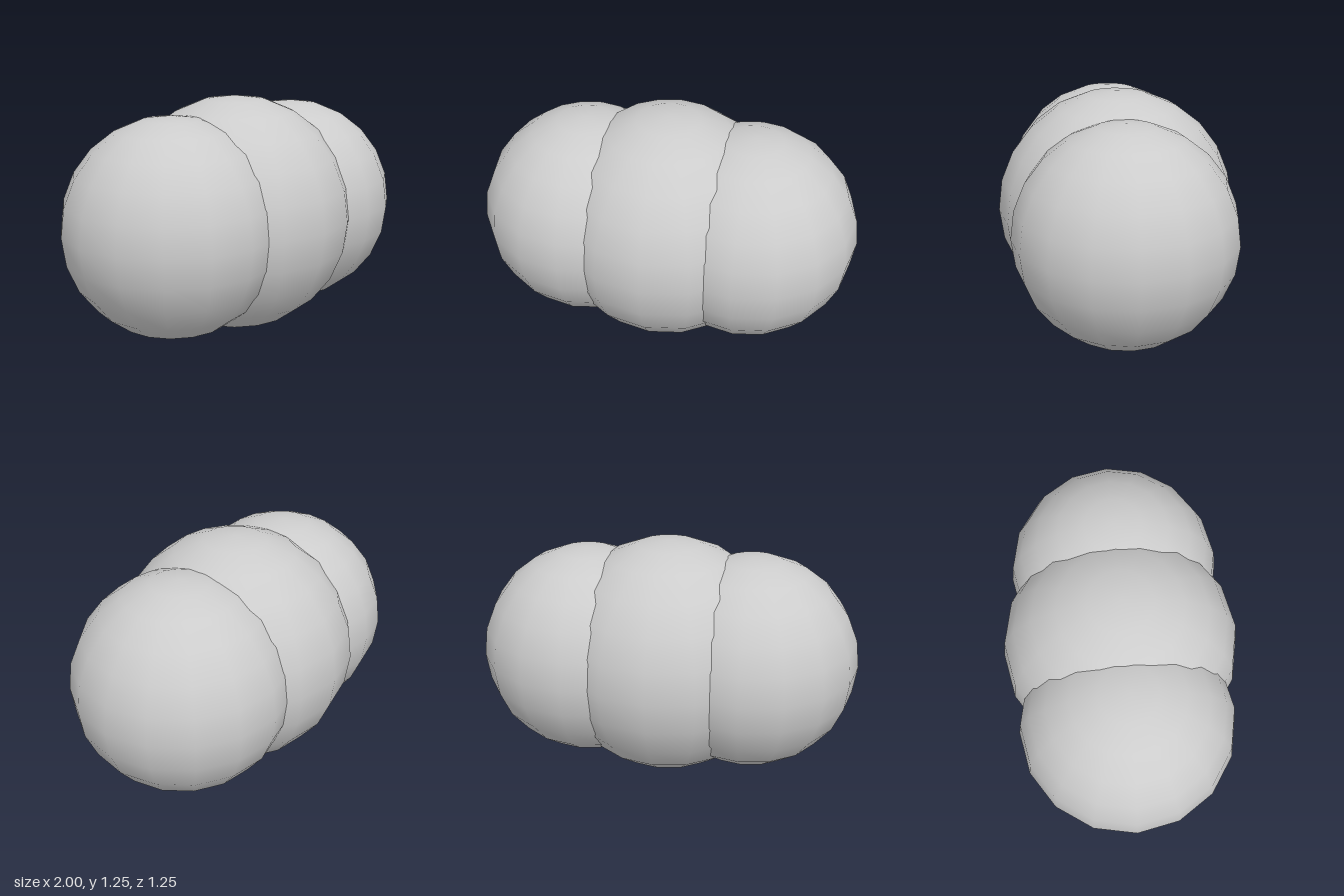
import * as THREE from 'three';

export function createModel() {
  const model = new THREE.Group();
  model.name = 'threeLobedBody';

  const grey = new THREE.MeshStandardMaterial({ color: 0xcccccc });
  grey.name = 'light grey';

  // One smooth lobe, centred on the long axis
  function addLobe(name, radius, x) {
    const lobe = new THREE.Mesh(new THREE.SphereGeometry(radius, 16, 12), grey);
    lobe.name = name;
    lobe.position.set(x, 0.625, 0);
    model.add(lobe);
  }

  // Large middle lobe with a smaller one overlapping it on each side
  addLobe('middleLobe', 0.625, 0);
  addLobe('leftLobe', 0.5625, 0.4375);
  addLobe('rightLobe', 0.5625, -0.4375);

  return model;
}
